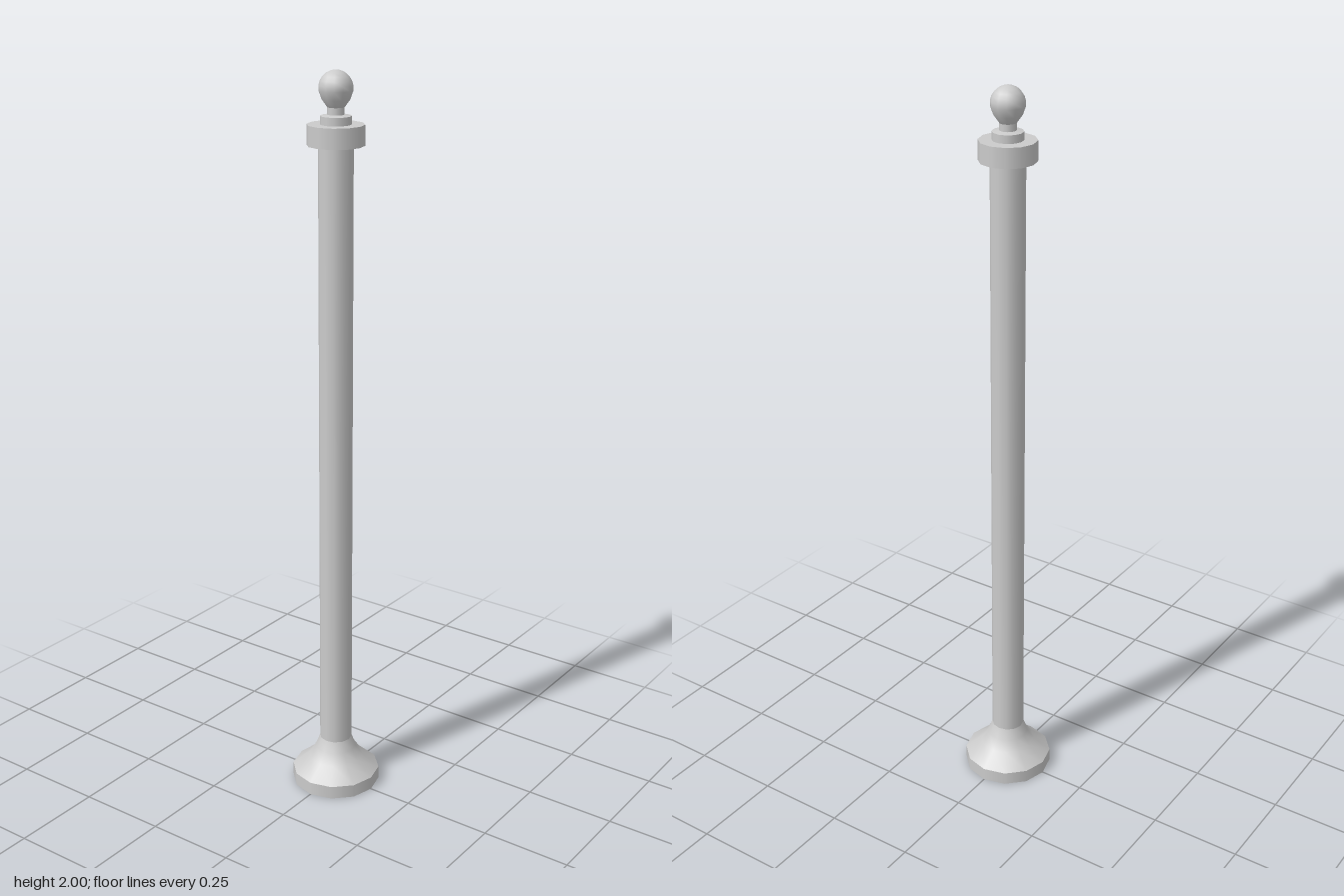
import * as THREE from 'three';

const SIDES = 12;
const material = new THREE.MeshStandardMaterial({ color: 0xcccccc, side: THREE.DoubleSide });

// Turned part: each profile of [radius, height] points is smooth, with sharp edges between profiles
function turned(name, ...profiles) {
  const part = new THREE.Group();
  part.name = name;
  profiles.forEach((profile, i) => {
    const points = profile.map(([r, y]) => new THREE.Vector2(r, y));
    const mesh = new THREE.Mesh(new THREE.LatheGeometry(points, SIDES), material);
    mesh.name = `${name}Surface${i + 1}`;
    part.add(mesh);
  });
  return part;
}

export function createModel() {
  const post = new THREE.Group();
  post.name = 'post';

  // Hollow flared foot, open underneath
  post.add(turned('base',
    [[0.123, 0], [0.123, 0.037]],
    [[0.123, 0.037], [0.077, 0.075], [0.057, 0.105], [0.045, 0.135]]));

  // Long plain column
  post.add(turned('shaft', [[0.045, 0.135], [0.045, 1.815]]));

  // Wide collar with flat faces
  post.add(turned('collar',
    [[0.045, 1.815], [0.074, 1.815]],
    [[0.074, 1.815], [0.074, 1.867]],
    [[0.074, 1.867], [0.04, 1.867]]));

  // Small ring and neck below the ball
  post.add(turned('neck',
    [[0.04, 1.867], [0.04, 1.888]],
    [[0.04, 1.888], [0.022, 1.891]],
    [[0.022, 1.891], [0.022, 1.909]]));

  // Ball finial, slightly drawn out towards the neck
  const ball = [[0.022, 1.909], [0.036, 1.928]];
  for (let i = 0; i <= 6; i++) {
    const a = -0.15 + (Math.PI / 2 + 0.15) * i / 6;
    ball.push([Math.max(0, 0.044 * Math.cos(a)), 1.956 + 0.044 * Math.sin(a)]);
  }
  post.add(turned('finial', ball));

  return post;
}
